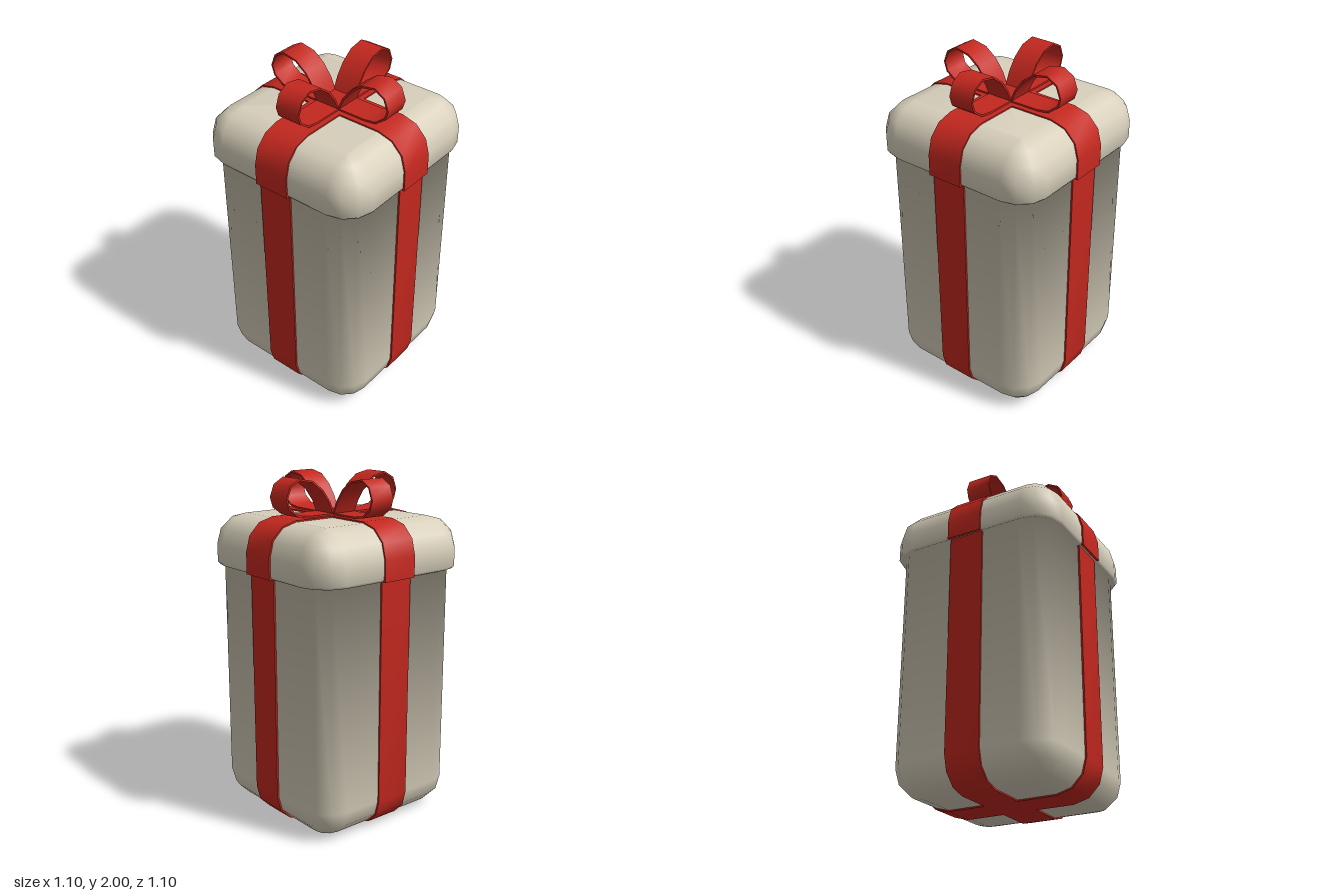
import * as THREE from 'three';
import { toCreasedNormals } from 'three/addons/utils/BufferGeometryUtils.js';

const SEG = 3; // segments per rounded corner

// Quarter arc as [x, y] points
function arc(cx, cy, r, from, to) {
  return Array.from({ length: SEG + 1 }, (_, i) => {
    const a = THREE.MathUtils.degToRad(from + ((to - from) * i) / SEG);
    return [cx + r * Math.cos(a), cy + r * Math.sin(a)];
  });
}

// Stack of rounded-square rings; each ring is [corner centre, corner radius, y]
function roundedStack(rings) {
  const pos = [], nor = [], idx = [];
  const slope = (a, b) => new THREE.Vector2(b[2] - a[2], a[0] + a[1] - b[0] - b[1]).normalize();
  const n = 4 * (SEG + 1);
  rings.forEach((ring, k) => {
    const [c, r, y] = ring;
    const normal = new THREE.Vector2();
    if (k > 0) normal.add(slope(rings[k - 1], ring));
    else normal.set(0, -1);
    if (k < rings.length - 1) normal.add(slope(ring, rings[k + 1]));
    else normal.add(new THREE.Vector2(0, 1));
    normal.normalize();
    for (let q = 0; q < 4; q++) {
      const mid = (q + 0.5) * Math.PI / 2;
      for (let s = 0; s <= SEG; s++) {
        const a = (q + s / SEG) * Math.PI / 2;
        pos.push(c * Math.SQRT2 * Math.cos(mid) + r * Math.cos(a), y, c * Math.SQRT2 * Math.sin(mid) + r * Math.sin(a));
        nor.push(normal.x * Math.cos(a), normal.y, normal.x * Math.sin(a));
      }
    }
    if (k === 0) return;
    for (let i = 0; i < n; i++) {
      const j = (i + 1) % n, a = (k - 1) * n, b = k * n;
      idx.push(a + i, b + i, b + j, a + i, b + j, a + j);
    }
  });
  // flat bottom and top
  const last = (rings.length - 1) * n;
  for (let i = 1; i < n - 1; i++) idx.push(0, i, i + 1, last, last + i + 1, last + i);
  const g = new THREE.BufferGeometry();
  g.setAttribute('position', new THREE.Float32BufferAttribute(pos, 3));
  g.setAttribute('normal', new THREE.Float32BufferAttribute(nor, 3));
  g.setIndex(idx);
  return g;
}

// Flat band following a counter-clockwise path, thickened to the inside
function band(path, width, thickness) {
  const outer = path.map(p => new THREE.Vector2(...p));
  const inner = outer.map((p, i) => {
    const d = outer[Math.min(i + 1, outer.length - 1)].clone().sub(outer[Math.max(i - 1, 0)]).normalize();
    return new THREE.Vector2(p.x - d.y * thickness, p.y + d.x * thickness);
  });
  const shape = new THREE.Shape([...outer, ...inner.reverse()]);
  const g = new THREE.ExtrudeGeometry(shape, { depth: width, bevelEnabled: false });
  g.translate(0, 0, -width / 2);
  return toCreasedNormals(g, 0.95);
}

export function createModel() {
  const group = new THREE.Group();
  const paper = new THREE.MeshStandardMaterial({ color: 0xd8d0bc });
  const red = new THREE.MeshStandardMaterial({ color: 0xc4281f });
  const add = (name, geometry, material, turn = 0) => {
    const mesh = new THREE.Mesh(geometry, material);
    mesh.name = name;
    mesh.rotation.y = turn;
    group.add(mesh);
  };

  // Box and overhanging lid, one continuous skin
  add('boxAndLid', roundedStack([
    ...arc(0, 0.183, 0.175, -90, 0).map(([r, y]) => [0.335, r, y]),
    [0.335, 0.175, 1.485],
    [0.36, 0.17, 1.475],
    [0.365, 0.175, 1.49],
    ...arc(0, 1.595, 0.175, 0, 90).map(([r, y]) => [0.365, r, y]),
  ]), paper);

  // Ribbons around the box and over the lid, in both directions
  const boxPath = [[-0.52, 1.478], ...arc(-0.337, 0.183, 0.183, 180, 270), ...arc(0.337, 0.183, 0.183, 270, 360), [0.52, 1.478]];
  const lidPath = [[0.549, 1.473], ...arc(0.366, 1.595, 0.183, 0, 90), ...arc(-0.366, 1.595, 0.183, 90, 180), [-0.549, 1.473]];
  const boxRibbon = band(boxPath, 0.21, 0.016);
  const lidRibbon = band(lidPath, 0.216, 0.016);
  for (const [side, turn] of [['Across', 0], ['FrontToBack', Math.PI / 2]]) {
    add('boxRibbon' + side, boxRibbon, red, turn);
    add('lidRibbon' + side, lidRibbon, red, turn);
  }

  // Four bow loops
  const loop = band([
    [0.065, 1.776], [0.25, 1.777], [0.325, 1.788], [0.386, 1.833], [0.404, 1.89], [0.377, 1.96],
    [0.312, 1.996], [0.22, 1.978], [0.15, 1.925], [0.1, 1.857], [0.07, 1.79],
  ], 0.152, 0.011);
  for (let i = 0; i < 4; i++) add('bowLoop' + (i + 1), loop, red, i * Math.PI / 2);

  // Flat knot joining the loops
  const knot = new THREE.BoxGeometry(0.15, 0.014, 0.15);
  knot.translate(0, 1.782, 0);
  add('knot', knot, red);
  return group;
}
